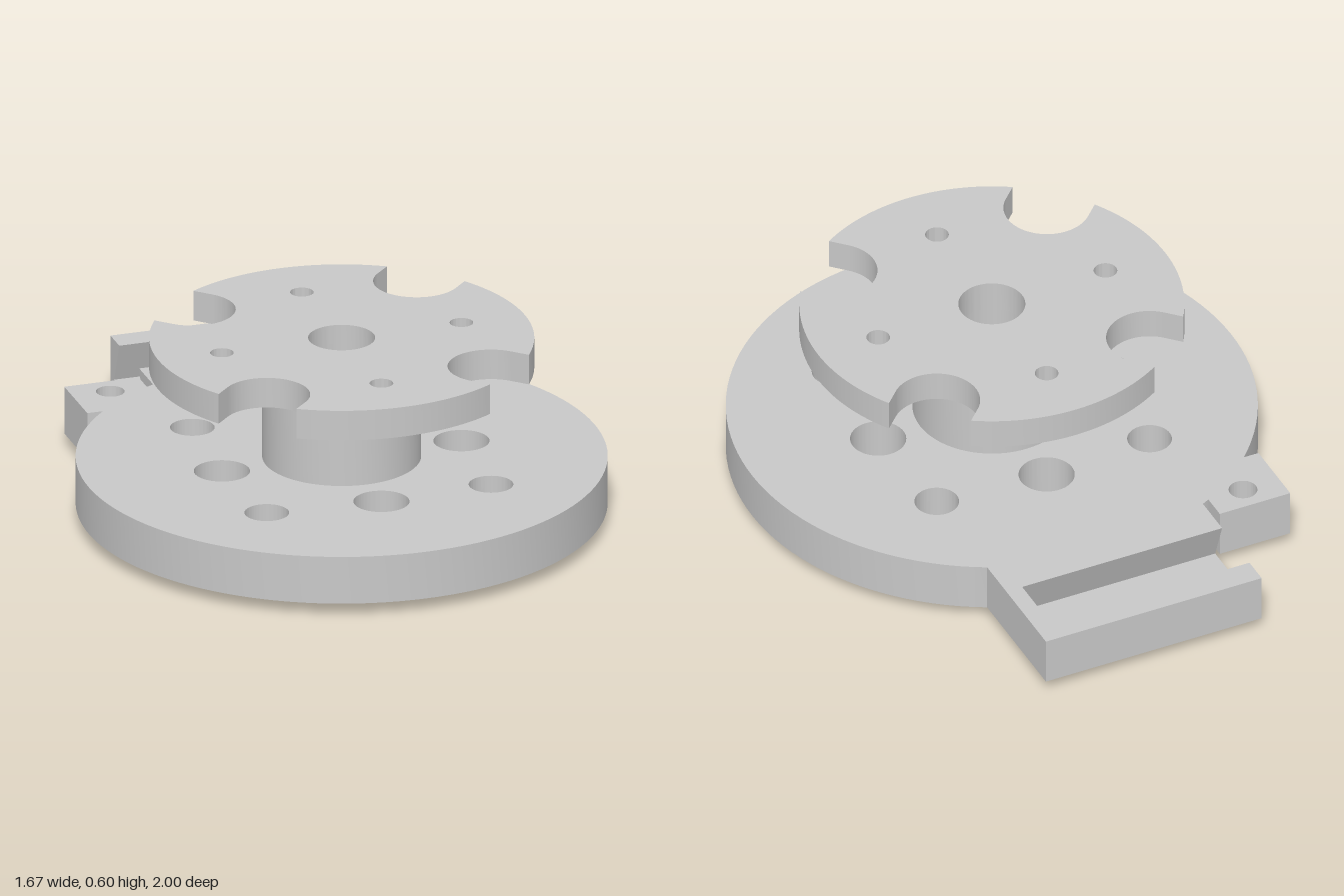
import * as THREE from 'three';
import { toCreasedNormals } from 'three/addons/utils/BufferGeometryUtils.js';

const CZ = 0.167;           // z of the round parts' axis
const Y0 = 0.042, Y1 = 0.2; // underside and top of the base
const R = 0.833;            // base radius
const BORE = 0.105;

const grey = new THREE.MeshStandardMaterial({ color: 0xc8c8c8 });
grey.name = 'machinedGrey';

function circle(x, y, r) {
  return new THREE.Path().absarc(x, y, r, 0, Math.PI * 2, true);
}

function mesh(name, geometry) {
  const m = new THREE.Mesh(toCreasedNormals(geometry, 0.5), grey);
  m.name = name;
  return m;
}

// Horizontal plate from a counter-clockwise shape: shape x is x, shape y points to the back (-z)
function plate(name, shape, y0, y1, z = CZ) {
  const g = new THREE.ExtrudeGeometry(shape, { depth: y1 - y0, bevelEnabled: false, curveSegments: 48 });
  g.rotateX(-Math.PI / 2).translate(0, y0, z);
  return mesh(name, g);
}

// Bar running along x from a list of [z, y] corners
function bar(name, corners, x0, x1) {
  const shape = new THREE.Shape(corners.map(([z, y]) => new THREE.Vector2(-z, y)));
  const g = new THREE.ExtrudeGeometry(shape, { depth: x1 - x0, bevelEnabled: false });
  g.rotateY(Math.PI / 2).translate(x0, 0, 0);
  return mesh(name, g);
}

function ringShape(outer, inner) {
  const s = new THREE.Shape().absarc(0, 0, outer, 0, Math.PI * 2, false);
  s.holes.push(circle(0, 0, inner));
  return s;
}

// Base disc with the small square lug, cut straight where the slide block joins
function baseShape(tabHalf) {
  const edge = Math.sqrt(R * R - tabHalf * tabHalf);
  const lugFront = 0.584, lugBack = 0.813, lugIn = -0.4, lugOut = -0.645;
  const lugX = -Math.sqrt(R * R - lugFront * lugFront);
  const s = new THREE.Shape();
  s.moveTo(-tabHalf, edge);
  s.lineTo(lugIn, Math.sqrt(R * R - lugIn * lugIn));
  s.lineTo(lugIn, lugBack);
  s.lineTo(lugOut, lugBack);
  s.lineTo(lugOut, lugFront);
  s.absarc(0, 0, R, Math.atan2(lugFront, lugX), Math.atan2(edge, tabHalf) + Math.PI * 2, false);
  s.closePath();
  s.holes.push(circle(0, 0, BORE), circle(-0.52, 0.732, 0.045));
  for (let i = 0; i < 8; i++) {
    const a = i * Math.PI / 4, d = i % 2 ? 0.523 : 0.395;
    s.holes.push(circle(d * Math.cos(a), d * Math.sin(a), i % 2 ? 0.07 : 0.088));
  }
  return s;
}

// Upper flange with four round-bottomed notches on the diagonals
function flangeShape() {
  const r = 0.603, n = 0.136, d = 0.523, half = Math.asin(n / r);
  const s = new THREE.Shape();
  for (let i = 0; i < 4; i++) {
    const a = Math.PI / 4 + i * Math.PI / 2;
    s.absarc(d * Math.cos(a), d * Math.sin(a), n, a - Math.PI / 2, a + Math.PI / 2, true);
    s.absarc(0, 0, r, a + half, a + Math.PI / 2 - half, false);
  }
  s.closePath();
  s.holes.push(circle(0, 0, BORE));
  for (let i = 0; i < 4; i++) {
    const a = i * Math.PI / 2;
    s.holes.push(circle(0.395 * Math.cos(a), 0.395 * Math.sin(a), 0.037));
  }
  return s;
}

// Block at the back with a dovetail slot open at the right end
function slideBlock() {
  const group = new THREE.Group();
  group.name = 'slideBlock';
  const w = 0.375, end = 0.32, floorY = 0.065;
  const front = CZ - Math.sqrt(R * R - w * w), back = -1;
  const floor = new THREE.Shape([[-w, -front], [w, -front], [w, -back], [-w, -back]]
    .map(([x, y]) => new THREE.Vector2(x, y)));
  floor.holes.push(circle(-0.21, 0.813, 0.046));
  group.add(
    plate('slotFloor', floor, Y0, floorY, 0),
    bar('outerRail', [[back, floorY], [-0.963, floorY], [-0.912, Y1], [back, Y1]], -w, end),
    bar('innerRail', [[-0.665, floorY], [front, floorY], [front, Y1], [-0.715, Y1]], -w, end),
    bar('slotEnd', [[back, floorY], [front, floorY], [front, Y1], [back, Y1]], end, w)
  );
  return group;
}

export function createModel() {
  const model = new THREE.Group();
  model.name = 'flangedHub';
  model.add(
    plate('footRing', ringShape(0.718, 0.66), 0, Y0),
    plate('baseDisc', baseShape(0.375), Y0, Y1),
    slideBlock(),
    plate('hub', ringShape(0.249, BORE), Y1, 0.5),
    plate('notchedFlange', flangeShape(), 0.5, 0.6)
  );
  return model;
}
